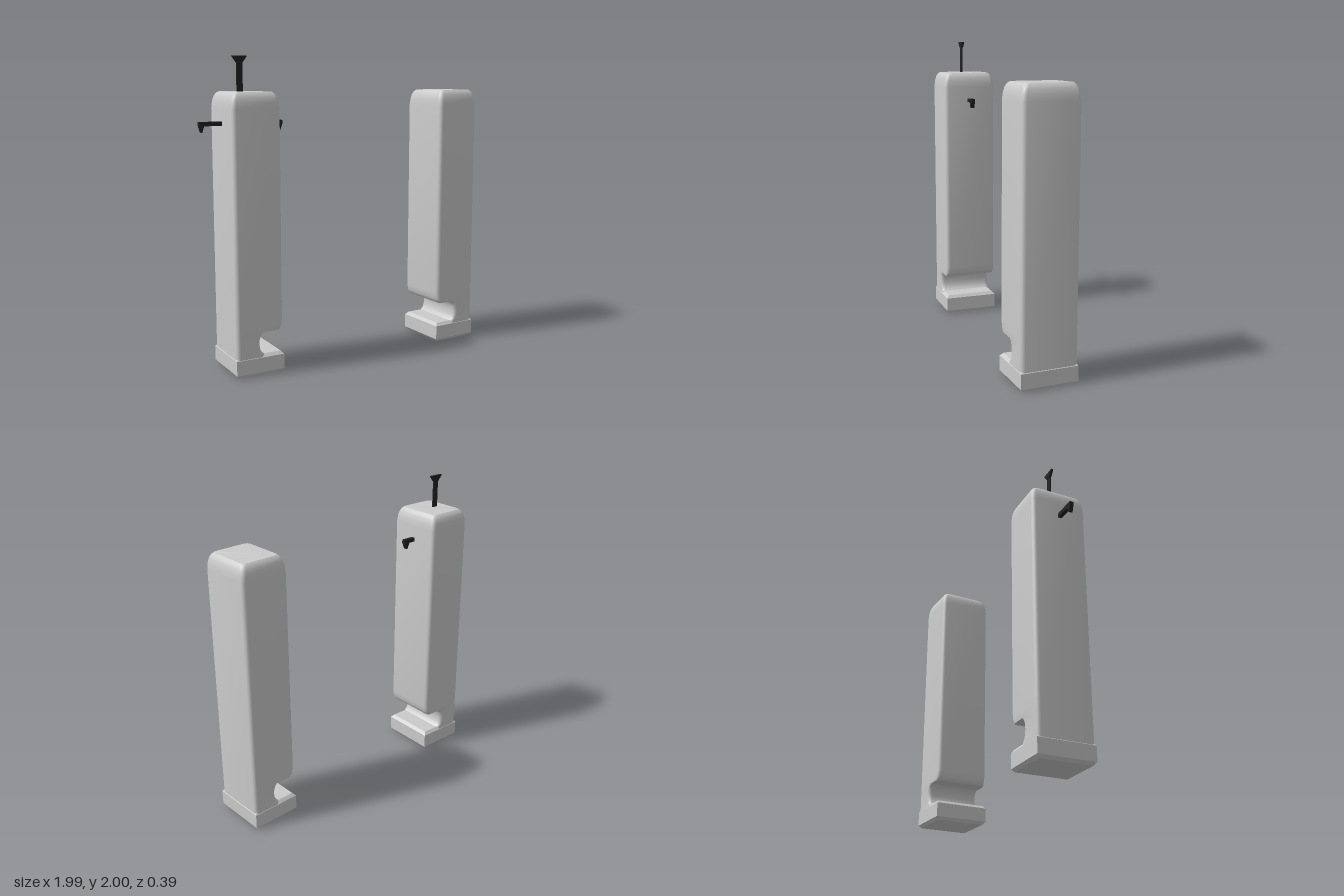
import * as THREE from 'three';
import { toCreasedNormals } from 'three/addons/utils/BufferGeometryUtils.js';

const grey = new THREE.MeshStandardMaterial({ color: 0xcccccc });
const dark = new THREE.MeshStandardMaterial({ color: 0x222222 });

function addMesh(parent, name, geometry, material) {
  const mesh = new THREE.Mesh(geometry, material);
  mesh.name = name;
  parent.add(mesh);
  return mesh;
}

// Flat outline extruded along z, centred on z = 0
function plate(points, depth) {
  const shape = new THREE.Shape(points.map(([x, y]) => new THREE.Vector2(x, y)));
  return new THREE.ExtrudeGeometry(shape, { depth, bevelEnabled: false }).translate(0, 0, -depth / 2);
}

// Rounded rectangle ring at height y, counter-clockwise seen from above
function ring(y, x0, x1, halfZ, r = 0.026, steps = 4) {
  const pts = [];
  const corners = [[x1 - r, halfZ - r], [x1 - r, -halfZ + r], [x0 + r, -halfZ + r], [x0 + r, halfZ - r]];
  corners.forEach(([cx, cz], k) => {
    for (let i = 0; i <= steps; i++) {
      const a = (k + i / steps) * Math.PI / 2;
      pts.push([cx + r * Math.sin(a), y, cz + r * Math.cos(a)]);
    }
  });
  return pts;
}

// Skin over rings from bottom to top, with a flat cap on top
function loft(rings) {
  const n = rings[0].length, index = [];
  for (let j = 0; j < rings.length - 1; j++) {
    for (let i = 0; i < n; i++) {
      const a = j * n + i, b = j * n + (i + 1) % n;
      index.push(a, b, b + n, a, b + n, a + n);
    }
  }
  const top = (rings.length - 1) * n;
  for (let i = 1; i < n - 1; i++) index.push(top, top + i, top + i + 1);
  const geo = new THREE.BufferGeometry();
  geo.setAttribute('position', new THREE.Float32BufferAttribute(rings.flat(2), 3));
  geo.setIndex(index);
  return toCreasedNormals(geo, 0.6);
}

// Tower whose notch opens toward its local +x
function tower(name) {
  const group = new THREE.Group();
  group.name = name;
  const w = 0.16, d = 0.184;
  const rings = [];
  // notch back wall
  for (const [y, x] of [[0.09, 0.035], [0.135, 0.03], [0.15, 0.013], [0.175, 0.004], [0.205, 0],
    [0.235, 0.004], [0.262, 0.014], [0.28, 0.035]]) rings.push(ring(y, -w, x, d));
  // rounded lower edge of the overhang
  for (const [y, x] of [[0.28, 0.135], [0.29, 0.146], [0.31, 0.154], [0.35, w]]) rings.push(ring(y, -w, x, d));
  // crown, rounded on all four sides
  for (const [y, inset] of [[1.68, 0], [1.72, 0.004], [1.75, 0.011], [1.77, 0.021], [1.782, 0.034]])
    rings.push(ring(y, -w + inset, w - inset, d - inset));
  addMesh(group, 'column', loft(rings), grey);

  // base block with chamfered rims, forming the lower lip
  const bx = 0.163, bz = 0.186;
  const outline = new THREE.Shape([[-bx, -bz], [bx, -bz], [bx, bz], [-bx, bz]].map(p => new THREE.Vector2(...p)));
  const base = new THREE.ExtrudeGeometry(outline, {
    depth: 0.095, bevelSize: 0.018, bevelOffset: -0.018, bevelThickness: 0.02, bevelSegments: 1,
  });
  base.translate(0, 0, 0.02).rotateX(-Math.PI / 2);
  addMesh(group, 'baseLip', base, grey);
  return group;
}

export function createModel() {
  const model = new THREE.Group();
  model.name = 'twinTowers';

  const right = tower('rightTower');
  right.position.set(-0.69, 0, -0.004);
  const left = tower('leftTower');
  left.position.set(0.823, 0, -0.004);
  left.rotation.y = Math.PI + 0.048;
  model.add(right, left);

  // thin mast with a flared head
  const mast = new THREE.Group();
  mast.name = 'mast';
  mast.position.x = -0.725;
  addMesh(mast, 'mastPole', new THREE.BoxGeometry(0.04, 0.24, 0.008).translate(0, 1.86, 0), dark);
  addMesh(mast, 'mastHead', plate([[-0.02, 1.96], [0.02, 1.96], [0.05, 2], [-0.05, 2]], 0.016), dark);
  model.add(mast);

  // side arms ending in downward points
  for (const [side, inner, tip, size] of [[-1, -0.83, -1, 0.035], [1, -0.55, -0.44, 0.045]]) {
    const arm = new THREE.Group();
    arm.name = side < 0 ? 'rightArm' : 'leftArm';
    const length = Math.abs(tip - inner);
    addMesh(arm, 'armRod', new THREE.BoxGeometry(length, 0.026, 0.026)
      .translate((inner + tip) / 2, 1.588, 0), dark);
    const x0 = Math.min(tip, tip - side * size), x1 = x0 + size;
    addMesh(arm, 'armPoint', plate([[x0, 1.58], [x0 + size * 0.4, 1.537], [x0 + size * 0.6, 1.535], [x1, 1.58]], 0.026), dark);
    model.add(arm);
  }
  return model;
}
